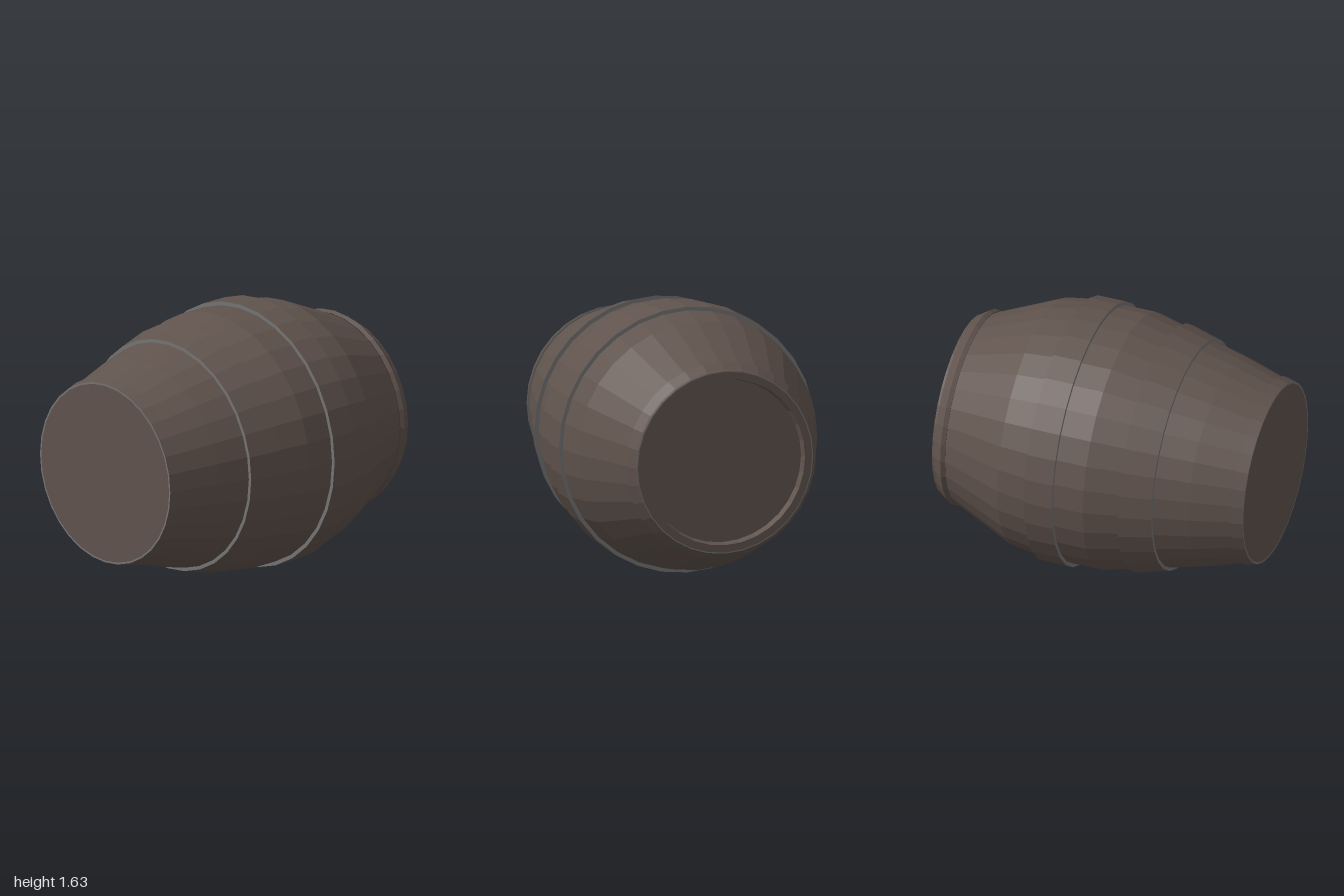
import * as THREE from 'three';

const SIDES = 32;
const AXIS_Y = 0.82;

export function createModel() {
  const model = new THREE.Group();
  model.name = 'barrel';
  const wood = new THREE.MeshStandardMaterial({ color: 0x60534d, flatShading: true });
  wood.name = 'dark wood';
  const metal = new THREE.MeshStandardMaterial({ color: 0x747474, flatShading: true });
  metal.name = 'grey metal';

  // Revolve [radius, z] pairs, listed from back to front, around the z axis
  function ring(name, material, profile, parent = model) {
    const points = profile.map(([r, z]) => new THREE.Vector2(r, z));
    const geometry = new THREE.LatheGeometry(points, SIDES);
    geometry.rotateX(Math.PI / 2);
    const mesh = new THREE.Mesh(geometry, material);
    mesh.name = name;
    mesh.position.y = AXIS_Y;
    parent.add(mesh);
  }

  // Recessed back head and its chamfered rim
  ring('backHead', wood, [[0, -0.95], [0.5, -0.95]]);
  ring('backRim', wood, [[0.5, -0.95], [0.51, -0.995], [0.555, -0.995]]);
  ring('backRimEdge', metal, [[0.555, -0.995], [0.562, -0.995]]);
  ring('backHoop', wood, [[0.562, -0.995], [0.567, -0.98], [0.606, -0.925], [0.594, -0.9]]);

  // Bulging staves
  ring('staves', wood, [
    [0.59, -0.9], [0.764, -0.5], [0.794, -0.31], [0.794, 0.06],
    [0.742, 0.27], [0.693, 0.47], [0.642, 0.68], [0.568, 0.93],
  ]);

  // Raised hoops with bare metal edges: back z, front z, hoop radii, stave radii
  const hoops = [
    ['middleHoop', -0.31, -0.13, 0.817, 0.817, 0.794, 0.794],
    ['frontHoop', 0.27, 0.47, 0.767, 0.714, 0.742, 0.693],
    ['endHoop', 0.93, 1, 0.581, 0.561, 0.568, 0.55],
  ];
  for (const [name, z0, z1, r0, r1, s0, s1] of hoops) {
    const hoop = new THREE.Group();
    hoop.name = name;
    ring(name + 'Band', wood, [[r0, z0], [r1, z1]], hoop);
    ring(name + 'BackEdge', metal, [[s0, z0], [r0, z0]], hoop);
    ring(name + 'FrontEdge', metal, [[r1, z1], [s1, z1]], hoop);
    model.add(hoop);
  }

  // Flat front head
  ring('frontHead', wood, [[0.55, 1], [0, 1]]);

  // Centre the slightly shorter back end
  model.children.forEach((part) => { part.position.z -= 0.0025; });
  return model;
}
